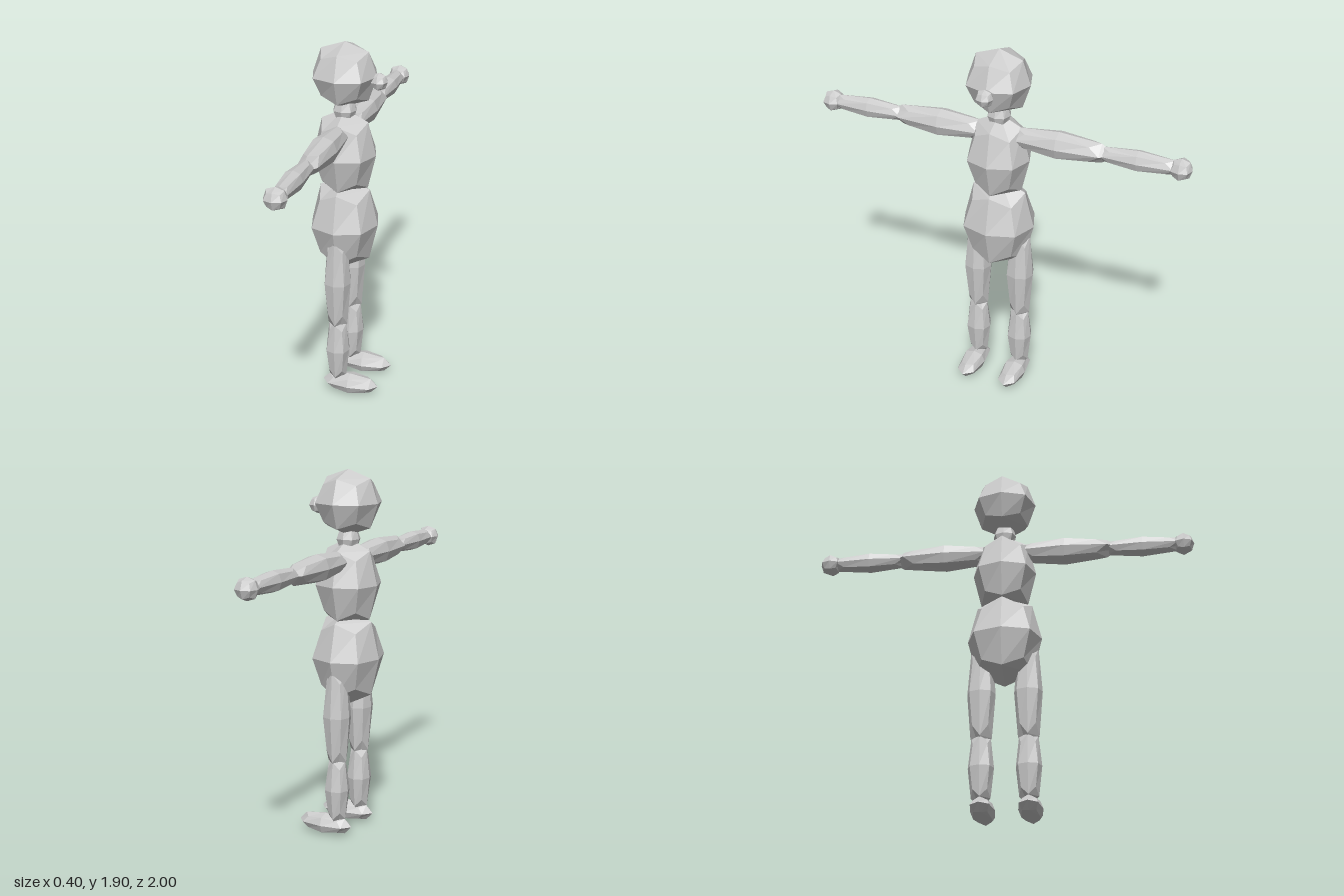
import * as THREE from 'three';

const material = new THREE.MeshStandardMaterial({ color: 0xcccccc, flatShading: true });

// Coarse ball: a cube split into 2 x 2 faces per side, with edges and corners pulled in
function ballGeometry() {
  const geometry = new THREE.BoxGeometry(2, 2, 2, 2, 2, 2);
  const pull = [0, 1, 0.745, 0.56]; // face centre, edge middle, corner
  const p = geometry.attributes.position;
  for (let i = 0; i < p.count; i++) {
    const v = [p.getX(i), p.getY(i), p.getZ(i)].map(Math.round);
    const k = pull[v.filter((c) => c !== 0).length];
    p.setXYZ(i, v[0] * k, v[1] * k, v[2] * k);
  }
  return geometry;
}

export function createModel() {
  const model = new THREE.Group();
  model.name = 'figure';
  const ball = ballGeometry();
  const cx = -0.025; // body axis

  // Adds one stretched ball given its centre and half sizes
  function part(name, [x, y, z], [rx, ry, rz], parent = model) {
    const geometry = ball.clone().scale(rx, ry, rz);
    geometry.computeVertexNormals();
    const mesh = new THREE.Mesh(geometry, material);
    mesh.name = name;
    mesh.position.set(x, y, z);
    parent.add(mesh);
  }

  // Head and trunk; the figure looks along +x
  part('head', [cx, 1.74, 0], [0.167, 0.167, 0.167]);
  part('nose', [0.152, 1.718, 0], [0.045, 0.045, 0.045]);
  part('neck', [cx, 1.555, 0], [0.06, 0.08, 0.06]);
  part('chest', [cx, 1.325, 0], [0.165, 0.235, 0.166]);
  part('pelvis', [cx, 0.945, 0], [0.178, 0.257, 0.193]);

  // Arms stretched sideways and straight legs, mirrored in z
  for (const [side, s] of [['left', -1], ['right', 1]]) {
    const arm = new THREE.Group();
    arm.name = side + 'Arm';
    part(side + 'UpperArm', [cx, 1.45, s * 0.32], [0.07, 0.07, 0.3], arm);
    part(side + 'Forearm', [cx, 1.45, s * 0.73], [0.05, 0.052, 0.25], arm);
    part(side + 'Hand', [cx, 1.45, s * 0.944], [0.058, 0.056, 0.056], arm);

    const leg = new THREE.Group();
    leg.name = side + 'Leg';
    part(side + 'Thigh', [cx, 0.65, s * 0.12], [0.071, 0.32, 0.073], leg);
    part(side + 'Shin', [cx, 0.255, s * 0.12], [0.063, 0.21, 0.066], leg);
    part(side + 'Foot', [0.045, 0.057, s * 0.12], [0.153, 0.054, 0.063], leg);
    model.add(arm, leg);
  }
  return model;
}
